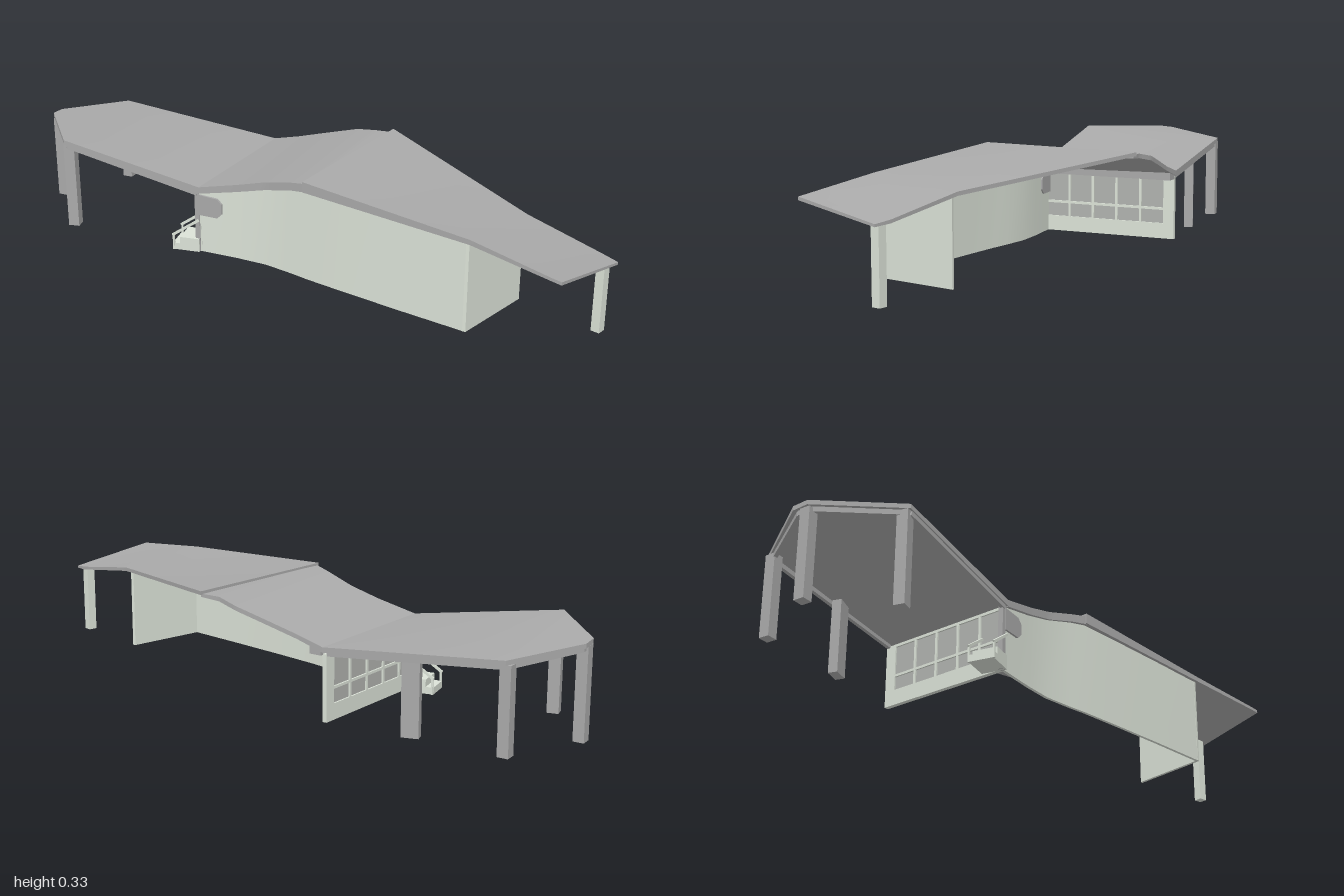
import * as THREE from 'three';
import { toCreasedNormals } from 'three/addons/utils/BufferGeometryUtils.js';

const mat = (name, color) => {
  const m = new THREE.MeshStandardMaterial({ color });
  m.name = name;
  return m;
};

// Slab lofted along stations [frontX, frontZ, frontTop, backX, backZ, backTop, frontThickness, backThickness]
function loft(stations, steps = 4, strips = 5) {
  const pos = [];
  const quad = (a, b, c, d) => [a, b, c, a, c, d].forEach((p) => pos.push(...p));
  const full = stations.map((s) => (s.length === 6 ? [...s, 0.014, 0.014] : s));
  const rings = [];
  full.forEach((s, i) => {
    const next = full[i + 1];
    for (let k = 0; k < (next ? steps : 1); k++) {
      rings.push(next ? s.map((v, j) => v + ((next[j] - v) * k) / steps) : s);
    }
  });
  // Point on a ring: t runs from front to back, on the top or the underside
  const at = ([fx, fz, fy, bx, bz, by, ft, bt], t, under) => {
    const mix = (a, b) => a + (b - a) * t;
    return [mix(fx, bx), mix(fy, by) - (under ? mix(ft, bt) : 0), mix(fz, bz)];
  };
  for (let i = 0; i < rings.length - 1; i++) {
    const p = rings[i], q = rings[i + 1];
    for (let k = 0; k < strips; k++) {
      const t = k / strips, u = (k + 1) / strips;
      quad(at(p, t), at(q, t), at(q, u), at(p, u));
      quad(at(p, u, true), at(q, u, true), at(q, t, true), at(p, t, true));
    }
    quad(at(p, 0, true), at(q, 0, true), at(q, 0), at(p, 0));
    quad(at(q, 1, true), at(p, 1, true), at(p, 1), at(q, 1));
  }
  const s = rings[0], e = rings[rings.length - 1];
  quad(at(s, 1, true), at(s, 0, true), at(s, 0), at(s, 1));
  quad(at(e, 0, true), at(e, 1, true), at(e, 1), at(e, 0));
  const g = new THREE.BufferGeometry();
  g.setAttribute('position', new THREE.Float32BufferAttribute(pos, 3));
  return toCreasedNormals(g, 0.5);
}

// Wall standing on the ground along points [x, z, top], thickened by (dx, dz)
const wall = (pts, dx, dz) =>
  loft(pts.map(([x, z, y]) => [x, z, y, x + dx, z + dz, y, y, y]), 1, 1);

const shapeOf = (pts) => new THREE.Shape(pts.map((p) => new THREE.Vector2(...p)));

export function createModel() {
  const model = new THREE.Group();
  model.name = 'pavilion';
  const roofGrey = mat('roof grey', 0xa9a9a9);
  const wallGreen = mat('pale green wall', 0xdbe2d7);
  const paneGrey = mat('pane grey', 0xb0b2ae);

  const add = (name, geo, material, parent = model) => {
    const m = new THREE.Mesh(geo, material);
    m.name = name;
    parent.add(m);
    return m;
  };
  const box = (name, size, at, material, parent) => {
    const m = add(name, new THREE.BoxGeometry(...size), material, parent);
    m.position.set(...at);
    return m;
  };
  // Square bar between two points
  const bar = (name, a, b, w, h, material, parent) => {
    const A = new THREE.Vector3(...a), B = new THREE.Vector3(...b);
    const m = box(name, [w, h, A.distanceTo(B)], A.clone().add(B).multiplyScalar(0.5).toArray(), material, parent);
    m.rotation.order = 'YXZ';
    const d = B.sub(A);
    m.rotation.set(-Math.atan2(d.y, Math.hypot(d.x, d.z)), Math.atan2(d.x, d.z), 0);
    return m;
  };

  // Canopy and rising hall roof, meeting in a valley
  add('canopyRoof', loft([
    [-1, -0.09, 0.298, -1, -0.14, 0.294],
    [-0.82, 0.125, 0.307, -0.86, -0.35, 0.275],
    [-0.33, 0.12, 0.228, -0.29, -0.355, 0.226, 0.02, 0.016],
  ]), roofGrey);
  add('hallRoof', loft([
    [-0.33, 0.12, 0.228, -0.29, -0.355, 0.226, 0.022, 0.016],
    [-0.2, 0.118, 0.259, -0.2, -0.35, 0.25, 0.024, 0.014],
    [-0.1, 0.12, 0.287, -0.1, -0.355, 0.278, 0.026, 0.014],
    [0, 0.145, 0.315, 0.01, -0.36, 0.308, 0.026, 0.014],
    [0.06, 0.163, 0.328, 0.08, -0.342, 0.322, 0.028, 0.014],
    [0.07, 0.165, 0.328, 0.145, -0.345, 0.324, 0.028, 0.01],
  ]), roofGrey);
  // Tapering wing roof lapping over the crest
  add('wingRoof', loft([
    [0.05, 0.165, 0.334, 0.14, -0.352, 0.333, 0.034, 0.012],
    [0.62, 0.272, 0.303, 0.7, -0.02, 0.274, 0.016, 0.012],
    [0.88, 0.345, 0.273, 0.95, 0.058, 0.231, 0.01, 0.01],
    [0.91, 0.352, 0.27, 1, 0.08, 0.225, 0.01, 0.008],
  ]), roofGrey);

  // Edge beams below the canopy
  const rim = [
    [-0.34, 0.205, 0.11], [-0.81, 0.286, 0.115], [-0.985, 0.277, -0.095],
    [-0.985, 0.275, -0.13], [-0.855, 0.256, -0.338], [-0.3, 0.208, -0.343],
  ];
  for (let i = 0; i < rim.length - 1; i++) bar('canopyBeam', rim[i], rim[i + 1], 0.012, 0.018, roofGrey);
  bar('valleyBeam', [-0.3, 0.212, 0.1], [-0.262, 0.212, -0.35], 0.04, 0.026, roofGrey);

  // Posts: x, z, height, width, depth, turn, material
  [
    [-0.98, -0.1, 0.28, 0.034, 0.034, 0, roofGrey],
    [-0.812, 0.1, 0.292, 0.036, 0.034, 0.2, roofGrey],
    [-0.858, -0.33, 0.262, 0.034, 0.034, 0, roofGrey],
    [-0.565, -0.325, 0.24, 0.052, 0.03, 0.25, roofGrey],
    [0.96, 0.09, 0.226, 0.028, 0.028, -0.3, wallGreen],
    [-0.341, 0.106, 0.212, 0.016, 0.016, 0, roofGrey],
  ].forEach(([x, z, h, w, d, turn, m]) => {
    box('post', [w, h, d], [x, h / 2, z], m).rotation.y = turn;
  });

  // Curved front wall and slanted end wall
  add('frontWall', wall([
    [-0.333, 0.11, 0.215], [-0.2, 0.108, 0.246], [-0.1, 0.112, 0.272], [0, 0.134, 0.3],
    [0.06, 0.15, 0.312], [0.2, 0.18, 0.31], [0.4, 0.22, 0.302], [0.615, 0.26, 0.29],
  ], 0, -0.01), wallGreen);
  add('endWall', wall([[0.615, 0.26, 0.29], [0.695, 0, 0.266]], -0.01, 0), wallGreen);

  // Window wall closing the hall towards the canopy; local x runs from front to back
  const length = 0.462;
  const glazed = new THREE.Group();
  glazed.name = 'windowWall';
  glazed.position.set(-0.335, 0, 0.11);
  glazed.rotation.y = Math.atan2(0.46, 0.04);
  model.add(glazed);
  const outline = shapeOf([[0, 0], [length, 0], [length, 0.205], [0, 0.205]]);
  const pitch = 0.085;
  for (let i = 0; i < 5; i++) {
    const u = 0.008 + i * pitch;
    for (const [low, high] of [[0.05, 0.094], [0.102, 0.196]]) {
      outline.holes.push(shapeOf([[u, low], [u, high], [u + 0.077, high], [u + 0.077, low]]));
    }
  }
  add('windowFrame', new THREE.ExtrudeGeometry(outline, { depth: 0.014, bevelEnabled: false }), wallGreen, glazed)
    .position.z = -0.007;
  box('windowPanes', [0.425, 0.15, 0.004], [0.22, 0.123, 0], paneGrey, glazed);

  // Plate with clipped corners, wrapped over the front wall by the corner post
  const plate = shapeOf([
    [-0.335, 0.13], [-0.268, 0.13], [-0.252, 0.146], [-0.252, 0.18], [-0.268, 0.196], [-0.335, 0.2],
  ]);
  add('wallPlate', new THREE.ExtrudeGeometry(plate, { depth: 0.022, bevelEnabled: false }), roofGrey)
    .position.z = 0.094;

  // Entrance steps with handrails, turned slightly from the front
  const steps = new THREE.Group();
  steps.name = 'entranceSteps';
  steps.position.set(-0.34, 0, 0.08);
  steps.rotation.y = 0.15;
  model.add(steps);
  box('lowerStep', [0.09, 0.022, 0.08], [-0.045, 0.011, 0], wallGreen, steps);
  box('upperStep', [0.065, 0.045, 0.08], [-0.0325, 0.0225, 0], wallGreen, steps);
  for (const z of [-0.04, 0.04]) {
    bar('handrail', [-0.09, 0.05, z], [0, 0.112, z], 0.006, 0.008, wallGreen, steps);
    box('railPost', [0.006, 0.055, 0.006], [-0.086, 0.0275, z], wallGreen, steps);
  }
  return model;
}
